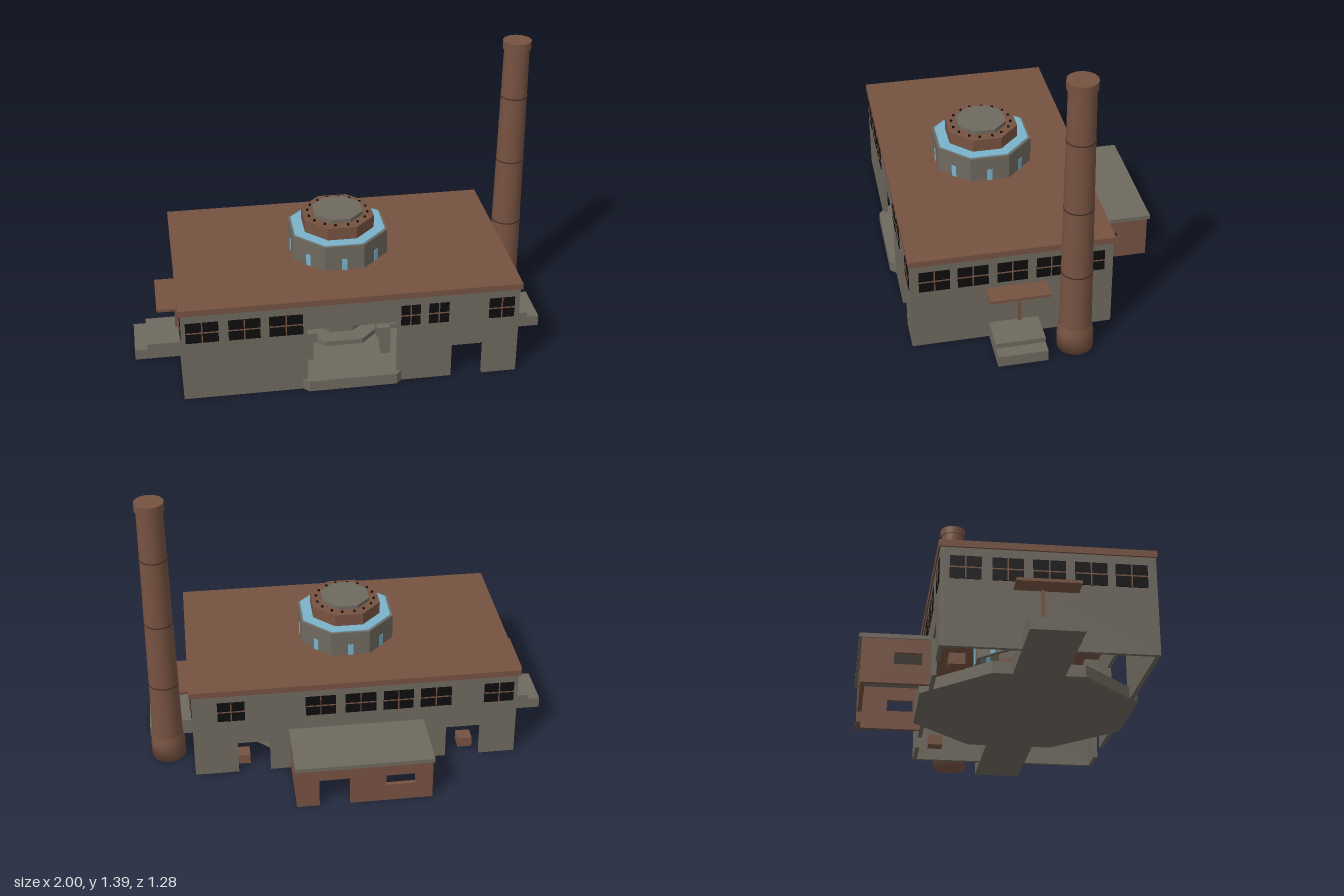
import * as THREE from 'three';

const mat = (name, color, side = THREE.FrontSide) => {
  const m = new THREE.MeshStandardMaterial({ color, side });
  m.name = name;
  return m;
};

export function createModel() {
  const root = new THREE.Group();
  root.name = 'powerHouse';
  const stone = mat('stone grey', 0x6e695f);
  const brick = mat('brick brown', 0x765241);
  const glass = mat('sky glass', 0x7ab2ca);
  const black = mat('window black', 0x0d0d0d);
  const dark = mat('dark brick', 0x452e25);
  const CZ = 0.14; // tower centre

  const add = (name, geo, m, x = 0, y = 0, z = 0, parent = root) => {
    const mesh = new THREE.Mesh(geo, m);
    mesh.name = name;
    mesh.position.set(x, y, z);
    parent.add(mesh);
    return mesh;
  };
  // Box given by its limits
  const block = (name, m, x0, x1, y0, y1, z0, z1) =>
    add(name, new THREE.BoxGeometry(x1 - x0, y1 - y0, z1 - z0), m, (x0 + x1) / 2, (y0 + y1) / 2, (z0 + z1) / 2);

  const octPoints = (a, cy = 0) => Array.from({ length: 8 }, (_, i) => {
    const t = (i + 0.5) * Math.PI / 4, r = a / Math.cos(Math.PI / 8);
    return new THREE.Vector2(r * Math.cos(t), cy + r * Math.sin(t));
  });
  const extrude = (shape, depth) => new THREE.ExtrudeGeometry(shape, { depth, bevelEnabled: false });
  // Octagonal slab or ring, a = half width across flats
  const octagon = (name, m, a, y0, y1, inner = 0) => {
    const s = new THREE.Shape(octPoints(a));
    if (inner) s.holes.push(new THREE.Path(octPoints(inner)));
    return add(name, extrude(s, y1 - y0).rotateX(-Math.PI / 2), m, 0, y0, CZ);
  };
  // Wall with doors [u0, u1, height] cut from the bottom and openings [u0, u1, v0, v1]
  const T = 0.02;
  const wallGeo = (u0, u1, h, doors = [], openings = []) => {
    const s = new THREE.Shape();
    s.moveTo(u0, 0);
    for (const [a, b, dh] of doors) {
      s.lineTo(a, 0); s.lineTo(a, dh); s.lineTo(b, dh); s.lineTo(b, 0);
    }
    s.lineTo(u1, 0); s.lineTo(u1, h); s.lineTo(u0, h); s.closePath();
    for (const [a, b, c, d] of openings) {
      const p = new THREE.Path();
      p.moveTo(a, c); p.lineTo(a, d); p.lineTo(b, d); p.lineTo(b, c); p.closePath();
      s.holes.push(p);
    }
    return extrude(s, T);
  };

  // Main hall walls
  const X = 0.785, ZF = 0.61, ZB = -0.32, H = 0.45;
  add('frontWall', wallGeo(-X, X, H, [[-0.21, 0.21, 0.325], [0.47, 0.62, 0.17]]), stone, 0, 0, ZF - T);
  add('backWall', wallGeo(-X, X, H, [[-0.61, -0.44, 0.17], [0.42, 0.575, 0.17]]), stone, 0, 0, ZB);
  for (const s of [-1, 1]) {
    const w = add('sideWall', wallGeo(-ZF + T, -ZB - T, H), stone, s > 0 ? X - T : -X);
    w.rotation.y = Math.PI / 2;
  }

  // Roof slab with a hole for the tower
  const roof = new THREE.Shape();
  roof.moveTo(-0.795, -0.615); roof.lineTo(0.795, -0.615);
  roof.lineTo(0.795, 0.328); roof.lineTo(-0.795, 0.328); roof.closePath();
  roof.holes.push(new THREE.Path(octPoints(0.22, -CZ)));
  add('roof', extrude(roof, 0.03).rotateX(-Math.PI / 2), brick, 0, H, 0);

  // Windows: dark pane with crossed glazing bars; angle turns +z to the wall normal
  const WY = 0.358, WH = 0.106;
  const windowAt = (x, z, width, angle) => {
    const g = new THREE.Group();
    g.name = 'window';
    g.position.set(x, WY, z);
    g.rotation.y = angle;
    add('pane', new THREE.BoxGeometry(width, WH, 0.004), black, 0, 0, 0.001, g);
    add('mullion', new THREE.BoxGeometry(0.006, WH, 0.004), brick, 0, 0, 0.003, g);
    add('transom', new THREE.BoxGeometry(width, 0.006, 0.004), brick, 0, 0, 0.003, g);
    root.add(g);
  };
  const frontWin = [[-0.765, -0.615], [-0.57, -0.425], [-0.385, -0.23], [0.225, 0.315], [0.355, 0.45], [0.64, 0.76]];
  const backWin = [[-0.765, -0.62], [-0.46, -0.31], [-0.275, -0.13], [-0.095, 0.055], [0.1, 0.245], [0.535, 0.665]];
  const sideWin = [[0.43, 0.57], [0.255, 0.395], [0.075, 0.215], [-0.1, 0.035], [-0.28, -0.145]];
  for (const [a, b] of frontWin) windowAt((a + b) / 2, ZF, b - a, 0);
  for (const [a, b] of backWin) windowAt((a + b) / 2, ZB, b - a, Math.PI);
  for (const s of [-1, 1])
    for (const [a, b] of sideWin) windowAt(s * X, (a + b) / 2, b - a, s * Math.PI / 2);

  // Octagonal floor and the long steps running out of both sides
  octagon('floor', stone, 0.497, 0, 0.055);
  block('lowerSteps', stone, -1, 1, 0, 0.0545, 0.025, 0.255);
  block('upperSteps', stone, -0.94, 0.94, 0.05, 0.08, 0.025, 0.255);

  // Side canopies and their posts
  for (const s of [-1, 1]) {
    const c = s * 0.835;
    block('canopy', brick, c - 0.05, c + 0.05, 0.265, 0.279, -0.01, 0.268);
    block('canopyPost', brick, s * 0.79 - 0.008, s * 0.79 + 0.008, 0.08, 0.266, 0.107, 0.122);
  }

  // Central hall under the tower
  octagon('podium', stone, 0.22, 0.05, 0.08);
  octagon('core', stone, 0.14, 0.08, 0.205, 0.12);
  octagon('coreRim', brick, 0.145, 0.205, 0.222, 0.12);
  for (const s of [-1, 1]) {
    block('entrancePier', stone, s * 0.185 - 0.022, s * 0.185 + 0.022, 0.055, 0.15, 0.4, 0.46);
    block('entrancePierTop', stone, s * 0.175 - 0.032, s * 0.175 + 0.032, 0.15, 0.2, 0.4, 0.46);
    block('crate', brick, s * 0.55 - 0.035, s * 0.55 + 0.035, 0, 0.05, -0.26, -0.19);
  }

  // Tower drum with tall slit windows
  octagon('towerDrum', stone, 0.226, 0.225, 0.605, 0.206);
  for (let i = 0; i < 8; i++) {
    const g = new THREE.Group();
    g.name = 'towerFace';
    g.position.set(0, 0, CZ);
    g.rotation.y = i * Math.PI / 4;
    add('slitWindow', new THREE.BoxGeometry(0.026, 0.31, 0.026), glass, 0, 0.383, 0.216, g);
    // Small vents on the lantern
    for (const x of [-0.03, 0.03])
      add('vent', new THREE.CylinderGeometry(0.006, 0.006, 0.01, 8), black, x, 0.672, 0.14, g);
    root.add(g);
  }
  octagon('glassRoof', glass, 0.215, 0.6, 0.609, 0.15);
  octagon('lantern', brick, 0.165, 0.606, 0.67);
  octagon('lanternCap', stone, 0.115, 0.67, 0.688);

  // Rear annex
  const AX = 0.322, AB = -0.625, AH = 0.212;
  add('annexBackWall', wallGeo(-AX, AX, AH, [[0.07, 0.215, 0.145]], [[-0.24, -0.1, 0.09, 0.145]]), brick, 0, 0, AB);
  for (const s of [-1, 1]) {
    const w = add('annexSideWall', wallGeo(-ZB, -AB - T, AH, [], [[0.355, 0.48, 0.09, 0.145]]), brick, s > 0 ? AX - T : -AX);
    w.rotation.y = Math.PI / 2;
  }
  block('annexRoof', stone, -0.328, 0.328, 0.21, 0.23, -0.638, ZB);

  // Chimney: flared foot, tapering shaft, collar
  const profile = (pts) => new THREE.LatheGeometry(pts.map(([r, y]) => new THREE.Vector2(r, y)), 32);
  const CX = 0.91, CHZ = -0.118;
  add('chimneyFoot', profile([[0, 0], [0.083, 0], [0.083, 0.08], [0.079, 0.105], [0.074, 0.13]]), brick, CX, 0, CHZ);
  add('chimneyShaft', new THREE.CylinderGeometry(0.061, 0.074, 1.22, 32), brick, CX, 0.74, CHZ);
  add('chimneyCollar', new THREE.CylinderGeometry(0.068, 0.068, 0.04, 32), brick, CX, 1.366, CHZ);
  for (const y of [0.42, 0.76, 1.1]) {
    const r = 0.0745 - 0.013 * (y - 0.13) / 1.22;
    add('chimneyBand', new THREE.CylinderGeometry(r + 0.0012, r + 0.0012, 0.006, 32), dark, CX, y, CHZ);
  }
  return root;
}
